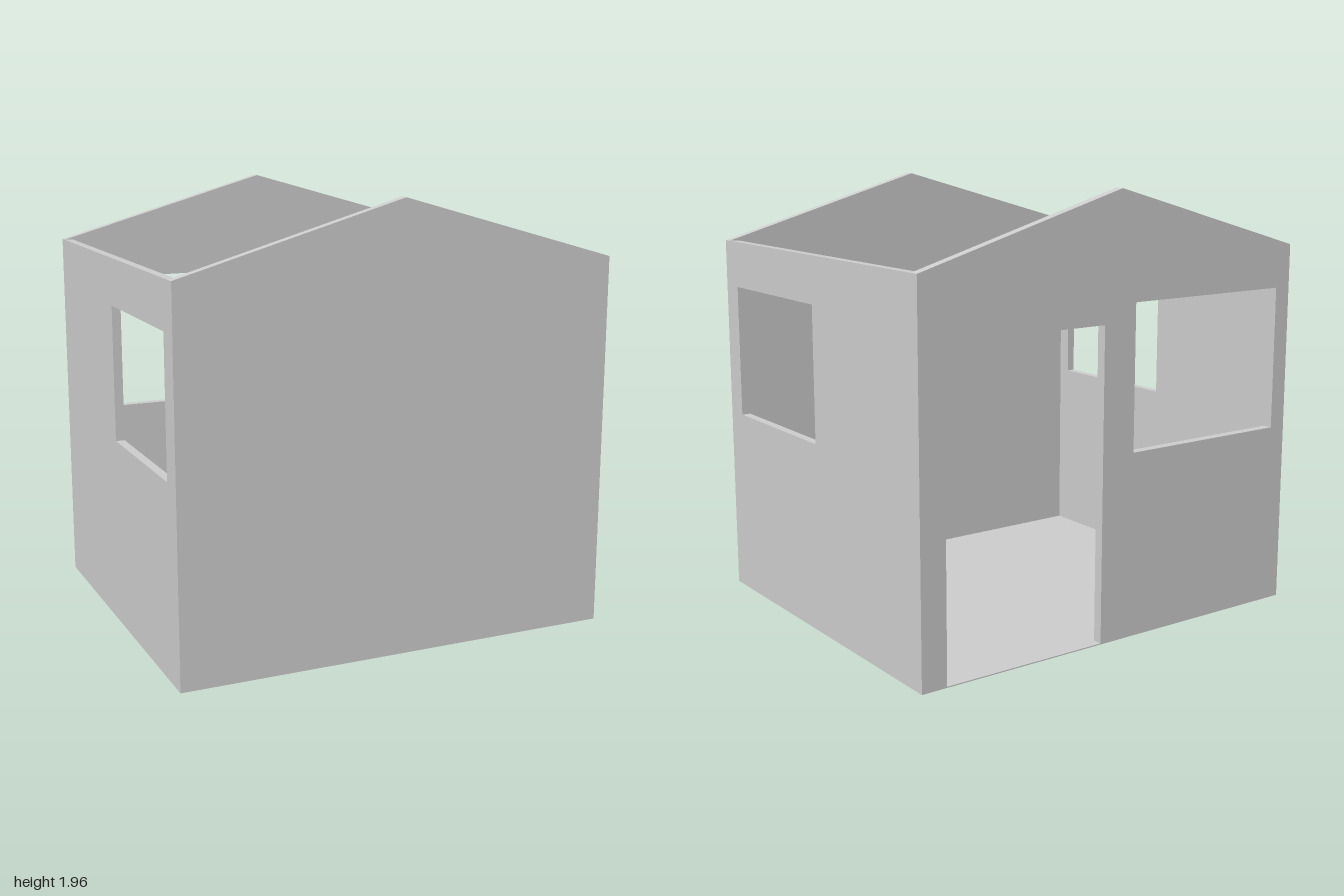
import * as THREE from 'three';

const W = 1, D = 0.84;             // half width, half depth
const TX = 0.04, TZ = 0.044;       // side and gable wall thickness
const FLOOR = 0.005, EAVE = 1.675, RIDGE = 1.96;

const material = new THREE.MeshStandardMaterial({ color: 0xcccccc, flatShading: true });

function polygon(points, Type = THREE.Shape) {
  return new Type(points.map(([x, y]) => new THREE.Vector2(x, y)));
}

// Rectangular opening for a wall shape
function opening(x0, x1, y0, y1) {
  return polygon([[x0, y0], [x0, y1], [x1, y1], [x1, y0]], THREE.Path);
}

function addMesh(group, name, geometry) {
  const mesh = new THREE.Mesh(geometry, material);
  mesh.name = name;
  group.add(mesh);
  return mesh;
}

function extrude(shape, depth) {
  return new THREE.ExtrudeGeometry(shape, { depth, bevelEnabled: false });
}

export function createModel() {
  const group = new THREE.Group();
  group.name = 'shed';

  // Thin floor slab under the walls
  addMesh(group, 'floor', new THREE.BoxGeometry(2 * W, FLOOR, 2 * D)).position.y = FLOOR / 2;

  // Solid front gable
  const gableTop = [[W, EAVE], [0, RIDGE], [-W, EAVE]];
  const front = polygon([[-W, FLOOR], [W, FLOOR], ...gableTop]);
  addMesh(group, 'frontWall', extrude(front, TZ)).position.z = D - TZ;

  // Back gable with a doorway notch and a window
  const back = polygon([
    [-W, FLOOR], [0.085, FLOOR], [0.085, 1.4], [0.88, 1.4], [0.88, FLOOR], [W, FLOOR], ...gableTop,
  ]);
  back.holes.push(opening(-0.92, -0.083, 0.832, 1.482));
  addMesh(group, 'backWall', extrude(back, TZ)).position.z = -D;

  // Side walls between the gables, each with a window toward the front
  const z = D - TZ;
  const side = polygon([[-z, FLOOR], [z, FLOOR], [z, EAVE], [-z, EAVE]]);
  side.holes.push(opening(0, 0.73, 0.857, 1.465));
  const sideGeometry = extrude(side, TX).rotateY(-Math.PI / 2);
  addMesh(group, 'leftWall', sideGeometry).position.x = W;
  addMesh(group, 'rightWall', sideGeometry).position.x = -W + TX;

  return group;
}
